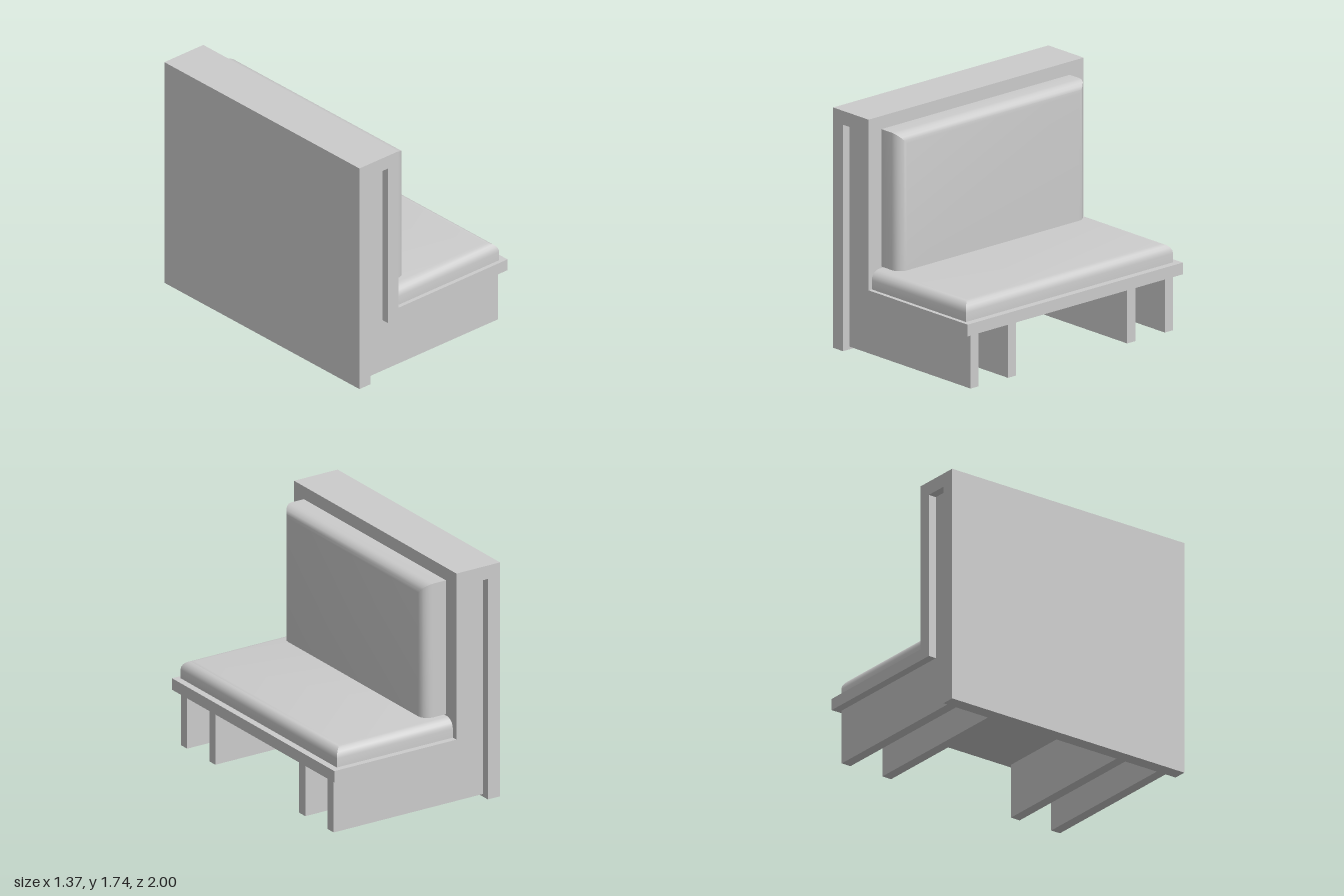
import * as THREE from 'three';
import { toCreasedNormals } from 'three/addons/utils/BufferGeometryUtils.js';

const material = new THREE.MeshStandardMaterial({ color: 0xcccccc });

function addMesh(group, name, geometry) {
  const mesh = new THREE.Mesh(geometry, material);
  mesh.name = name;
  group.add(mesh);
  return mesh;
}

// Side outline in x/y, extruded along z from z0 to z1
function board(points, z0, z1) {
  const shape = new THREE.Shape(points.map(([x, y]) => new THREE.Vector2(x, y)));
  return new THREE.ExtrudeGeometry(shape, { depth: z1 - z0, bevelEnabled: false }).translate(0, 0, z0);
}

// Pad lying in x/y with thickness along z; the edge at y = 0 stays square,
// the other three are rounded over and meet in mitred corners
function cushion(width, length, thickness, radius) {
  const steps = 5;
  const sections = [[0, 0]];
  for (let i = 0; i <= steps; i++) {
    const a = (i / steps) * Math.PI / 2;
    sections.push([radius * (1 - Math.cos(a)), thickness - radius + radius * Math.sin(a)]);
  }
  const positions = [];
  for (const [inset, h] of sections) {
    const w = width / 2 - inset, l = length - inset;
    positions.push(-w, 0, h, w, 0, h, w, l, h, -w, l, h);
  }
  const index = [0, 2, 1, 0, 3, 2];
  for (let s = 0; s < sections.length - 1; s++) {
    for (let k = 0; k < 4; k++) {
      const a = s * 4 + k, b = s * 4 + (k + 1) % 4;
      index.push(a, b, b + 4, a, b + 4, a + 4);
    }
  }
  const t = (sections.length - 1) * 4;
  index.push(t, t + 1, t + 2, t, t + 2, t + 3);
  const geometry = new THREE.BufferGeometry();
  geometry.setAttribute('position', new THREE.Float32BufferAttribute(positions, 3));
  geometry.setIndex(index);
  return toCreasedNormals(geometry, 0.5);
}

export function createModel() {
  const group = new THREE.Group();
  group.name = 'boothBench';
  const X = new THREE.Vector3(1, 0, 0), Y = new THREE.Vector3(0, 1, 0), Z = new THREE.Vector3(0, 0, 1);

  // Shell: rear panel, top cap, backrest panel and seat board in one outline
  addMesh(group, 'shell', board([
    [-0.685, 0], [-0.585, 0], [-0.585, 1.64], [-0.42, 1.64], [-0.42, 0.42],
    [0.685, 0.42], [0.685, 0.505], [-0.325, 0.505], [-0.325, 1.74], [-0.685, 1.74],
  ], -1, 1));

  // L-shaped support boards rising into the hollow back
  const support = [
    [-0.585, 0.02], [0.65, 0.02], [0.65, 0.42], [-0.42, 0.42], [-0.42, 1.64], [-0.585, 1.64],
  ];
  for (const z of [-0.94, -0.59, 0.518, 0.865]) {
    addMesh(group, 'support', board(support, z, z + 0.075));
  }

  // Seat cushion: rounded at the front and both ends
  const seat = cushion(1.925, 0.96, 0.135, 0.07);
  seat.applyMatrix4(new THREE.Matrix4().makeBasis(Z, X, Y).setPosition(-0.325, 0.505, 0.007));
  addMesh(group, 'seatCushion', seat);

  // Back cushion: rounded at the top and both ends
  const back = cushion(1.75, 0.995, 0.18, 0.075);
  back.applyMatrix4(new THREE.Matrix4().makeBasis(Z.clone().negate(), Y, X).setPosition(-0.325, 0.65, 0.005));
  addMesh(group, 'backCushion', back);

  return group;
}
